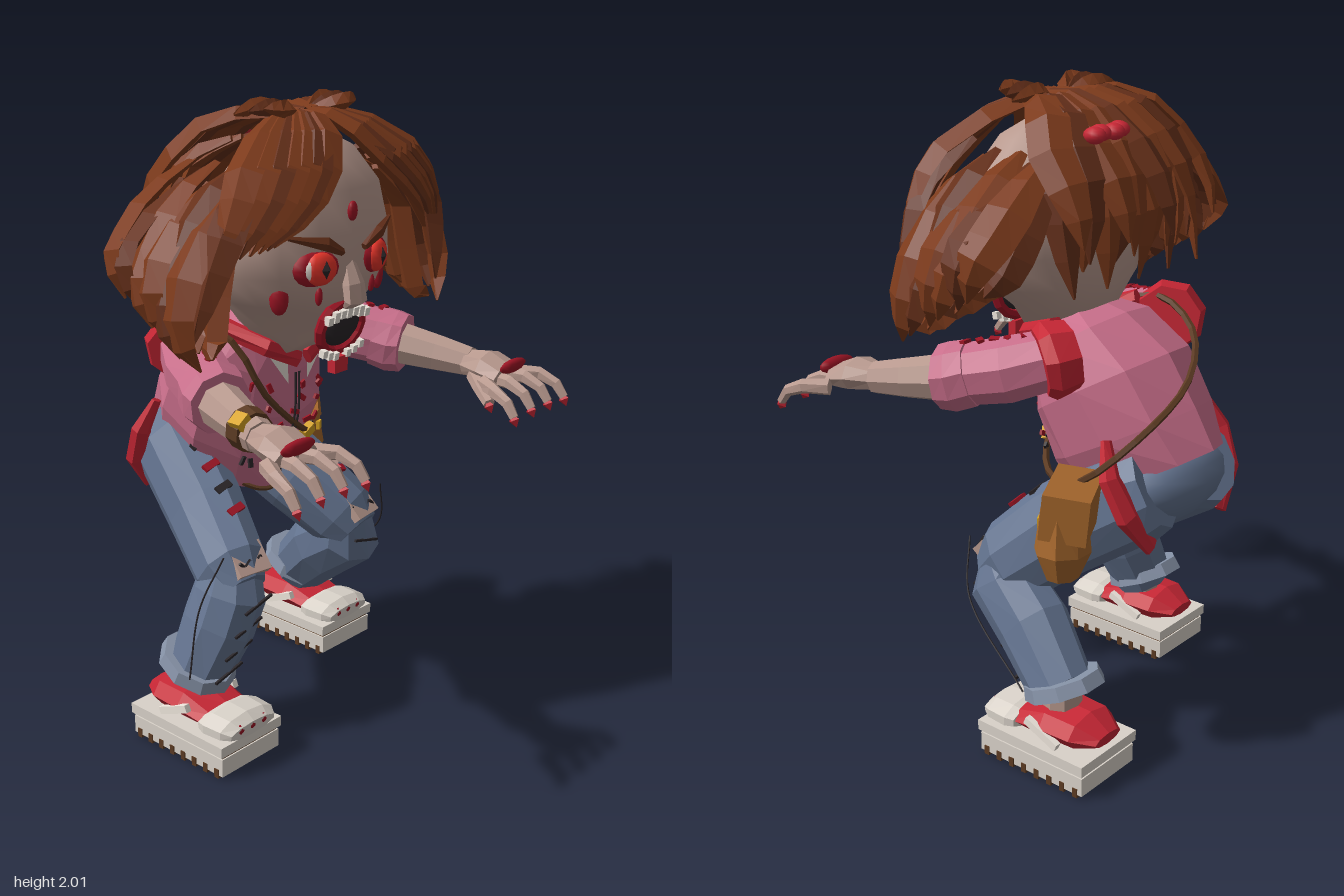
import * as THREE from 'three';

const V = (x, y, z) => new THREE.Vector3(x, y, z);
const COL = {
  skin: 0xb8998e, hair: 0x7c3a1b, hairDark: 0x66301a, pink: 0xc96f8b, jeans: 0x647490, cuff: 0x8793a8,
  red: 0xc62634, blood: 0x9c1424, shoe: 0xd9d2c9, bag: 0xa4662c, strap: 0x5b3a22, gold: 0xd9a422,
  dark: 0x2a2528, white: 0xeee6dc, eye: 0xe8352a,
};
const mats = {};
const mat = (c, flat = true) => mats[c + flat] ??= new THREE.MeshStandardMaterial({ color: COL[c], flatShading: flat });

export function createModel() {
  const model = new THREE.Group();
  model.name = 'zombieGirl';

  const add = (name, geo, c, pos = [0, 0, 0], rot = [0, 0, 0], scale = [1, 1, 1], parent = model, flat = true) => {
    const m = new THREE.Mesh(geo, mat(c, flat));
    m.name = name;
    m.position.set(...pos); m.rotation.set(...rot); m.scale.set(...scale);
    parent.add(m);
    return m;
  };
  const box = (name, c, size, pos, rot, parent) => add(name, new THREE.BoxGeometry(...size), c, pos, rot, undefined, parent);
  const blob = (name, c, size, pos, rot, parent) => add(name, new THREE.SphereGeometry(1, 10, 8), c, pos, rot, size, parent, false);

  // Closed skin over elliptical rings; each point is [x, y, z, radiusA, radiusB], B lies along ref
  const sweep = (name, c, pts, { n = 8, ref = V(0, 0, 1), flat = true, parent = model } = {}) => {
    const P = pts.map(p => V(p[0], p[1], p[2])), pos = [], idx = [], L = P.length;
    P.forEach((p, i) => {
      const T = P[Math.min(i + 1, L - 1)].clone().sub(P[Math.max(i - 1, 0)]).normalize();
      const B = ref.clone().addScaledVector(T, -ref.dot(T)).normalize(), A = B.clone().cross(T);
      for (let j = 0; j < n; j++) {
        const t = (j / n) * Math.PI * 2, q = p.clone();
        q.addScaledVector(A, Math.cos(t) * pts[i][3]).addScaledVector(B, Math.sin(t) * (pts[i][4] ?? pts[i][3]));
        pos.push(q.x, q.y, q.z);
        const k = (j + 1) % n, a = i * n + j, b = i * n + k;
        if (i < L - 1) idx.push(a, b, a + n, b, b + n, a + n);
        if (i === 0) idx.push(L * n, b, a);
        if (i === L - 1) idx.push(L * n + 1, a, b);
      }
    });
    [P[0], P[L - 1]].forEach(p => pos.push(p.x, p.y, p.z));
    const g = new THREE.BufferGeometry();
    g.setAttribute('position', new THREE.Float32BufferAttribute(pos, 3));
    g.setIndex(idx);
    g.computeVertexNormals();
    return add(name, g, c, undefined, undefined, undefined, parent, flat);
  };
  const cord = (name, c, pts, r, closed = false) => add(name,
    new THREE.TubeGeometry(new THREE.CatmullRomCurve3(pts.map(p => V(...p)), closed), 28, r, 5, closed), c);

  // Hunched jacket, axis leaning forward
  sweep('jacket', 'pink', [[-0.365, 0.85, 0, 0.265, 0.2], [-0.3, 0.97, 0, 0.26, 0.255], [-0.22, 1.12, 0, 0.24, 0.275],
    [-0.14, 1.24, 0, 0.16, 0.25], [-0.08, 1.3, 0, 0.09, 0.14]], { n: 10 });
  sweep('neck', 'skin', [[-0.1, 1.25, 0, 0.08], [-0.02, 1.4, 0, 0.1]], {});
  // Point on the jacket front at a given height and side offset
  const front = (y, z, out = 0.008) => {
    const k = [[0.72, -0.13], [0.845, -0.07], [1.015, -0.01], [1.18, -0.01], [1.3, -0.03]];
    const i = Math.max(0, Math.min(3, k.findIndex(p => p[0] > y) - 1));
    const x = k[i][1] + (k[i + 1][1] - k[i][1]) * (y - k[i][0]) / (k[i + 1][0] - k[i][0]);
    return [x + out - 0.24 * (1 - Math.sqrt(1 - (z / 0.29) ** 2)), y, z];
  };
  for (const z of [-0.008, 0.008]) cord('zip', 'dark', [0.74, 0.86, 1.0, 1.15].map(y => front(y, z)), 0.004);
  cord('hemTrim', 'strap', [[-0.23, 0.8, 0.15], [-0.13, 0.73, 0.04], [-0.13, 0.73, -0.04], [-0.23, 0.8, -0.15]], 0.008);
  for (const s of [-1, 1]) {
    add('collarPoint', new THREE.ConeGeometry(0.045, 0.13, 3), 'white', [0.0, 1.18, s * 0.065], [s * 0.35, 0, Math.PI], [0.4, 1, 1]);
    sweep('redCollar', 'red', [[0.02, 1.2, s * 0.02, 0.015, 0.03], [0, 1.26, s * 0.14, 0.03], [-0.16, 1.32, s * 0.2, 0.03]], { n: 6, ref: V(0, 1, 0) });
    // Torn hem at each hip
    sweep('redHem', 'red', [[-0.39, 1.03, s * 0.25, 0.012, 0.02], [-0.43, 0.93, s * 0.285, 0.03, 0.035],
      [-0.48, 0.82, s * 0.26, 0.032, 0.045], [-0.51, 0.7, s * 0.18, 0.012, 0.03]], { n: 6 });
  }
  for (let i = 0; i < 22; i++) {
    const y = 0.84 + ((i * 37) % 22) / 22 * 0.3, z = Math.sin(i * 2.4) * 0.16;
    box('jacketStain', i % 3 ? 'blood' : 'dark', [0.008, 0.03, 0.016], front(y, z, 0.002), [i, z, -0.3]);
  }

  // Head
  sweep('head', 'skin', [[0.05, 1.25, 0, 0.07, 0.09], [0, 1.32, 0, 0.165, 0.16], [-0.01, 1.42, 0, 0.215, 0.27], [0, 1.52, 0, 0.22, 0.35],
    [0, 1.62, 0, 0.22, 0.34], [0, 1.75, 0, 0.21, 0.29], [0, 1.85, 0, 0.15, 0.2], [0, 1.9, 0, 0.07, 0.1]], { n: 16, flat: false });
  sweep('nose', 'skin', [[0.2, 1.55, 0, 0.015, 0.02], [0.225, 1.47, 0, 0.028, 0.04], [0.235, 1.42, 0, 0.025, 0.045], [0.21, 1.4, 0, 0.01, 0.03]], { n: 6 });
  for (const s of [-1, 1]) {
    blob('eyeSocket', 'blood', [0.03, 0.055, 0.082], [0.19, 1.535, s * 0.135], [0, s * -0.3, 0]);
    blob('eyeWhite', 'white', [0.03, 0.045, 0.066], [0.196, 1.535, s * 0.135], [0, s * -0.3, 0]);
    blob('iris', 'eye', [0.025, 0.05, 0.055], [0.208, 1.535, s * 0.13], [0, s * -0.3, 0]);
    add('pupil', new THREE.OctahedronGeometry(0.028), 'dark', [0.23, 1.535, s * 0.128], [0, 0, 0], [0.5, 1, 0.7]);
    sweep('eyebrow', 'hairDark', [[0.222, 1.575, s * 0.05, 0.012], [0.222, 1.61, s * 0.12, 0.015, 0.022], [0.17, 1.635, s * 0.23, 0.006]], { n: 5, ref: V(0, 1, 0) });
    blob('cheekWound', 'blood', [0.02, 0.05, 0.03], [0.13, 1.45, s * 0.225], [0, s * -0.8, 0]);
    blob('bloodTear', 'blood', [0.012, 0.03, 0.012], [0.192, 1.45, s * 0.12]);
  }
  blob('foreheadWound', 'blood', [0.012, 0.03, 0.02], [0.218, 1.69, 0]);

  // Open mouth with broken teeth
  const mouth = new THREE.Group();
  mouth.name = 'mouth'; mouth.position.set(0.16, 1.335, 0); mouth.rotation.z = -0.2;
  model.add(mouth);
  blob('mouthHollow', 'dark', [0.03, 0.07, 0.085], [0.012, 0.005, 0], undefined, mouth);
  add('lips', new THREE.TorusGeometry(0.085, 0.017, 6, 14), 'blood', [0.015, 0, 0], [0, Math.PI / 2, 0], [1.1, 0.95, 1], mouth);
  for (let i = 0; i < 7; i++) {
    const z = (i - 3) * 0.028;
    box('upperTooth', 'white', [0.02, 0.026 + (i % 2) * 0.008, 0.022], [0.035, 0.055 - z * z * 2, z], undefined, mouth);
    if (i !== 3) box('lowerTooth', 'white', [0.02, 0.024, 0.02], [0.035, -0.088 + z * z * 3, z], undefined, mouth);
  }
  box('tongue', 'red', [0.03, 0.05, 0.06], [0.03, -0.12, 0], [0, 0, 0.2], mouth);

  // Hair locks: tapered diamonds along curves, facing away from the head centre
  const lock = (name, pts, w, k) => {
    const curve = new THREE.CatmullRomCurve3(pts.map(p => V(...p)));
    const prof = [0.3, 0.75, 1, 1, 0.9, 0.6, 0.06];
    const ref = curve.getPoint(0.5).sub(V(0, 1.55, 0)).normalize();
    sweep(name, k % 3 === 1 ? 'hairDark' : 'hair', prof.map((f, i) => [...curve.getPoint(i / 6).toArray(), w * f, 0.024 * f + 0.003]), { n: 4, ref });
  };
  for (const s of [-1, 1]) {
    // Side clump, hanging lower towards the face
    for (let i = 0; i < 6; i++) {
      const x = -0.21 + i * 0.056, j = (i % 2) * 0.025, tip = 1.5 - i * 0.034;
      lock('sideLock', [[x * 0.85, 1.83 - j, s * 0.26], [x, 1.74 - j, s * 0.42], [x + 0.005, (tip + 1.78) / 2, s * (0.53 + j)],
        [x + 0.02, tip + 0.07, s * 0.59], [x + 0.06, tip - 0.03, s * (0.57 - j)]], 0.068, i);
      lock('innerSideLock', [[x, 1.77, s * 0.28], [x, 1.64, s * 0.4], [x + 0.02, tip + 0.03, s * 0.46], [x + 0.06, tip - 0.03 + j, s * 0.5]], 0.06, i + 1);
    }
    // Swept fringe leaving a peak over the forehead
    for (let i = 0; i < 7; i++) {
      const f = i / 6, b = f * f;
      lock('fringeLock', [[0.01 - f * 0.03, 1.965, s * 0.015], [0.13 - f * 0.08, 1.94, s * (0.05 + f * 0.12)], [0.215 - b * 0.08, 1.835, s * (0.13 + f * 0.24)],
        [0.24 - b * 0.08, 1.73, s * (0.24 + f * 0.2)], [0.22 - b * 0.07, 1.635 - f * 0.03, s * (0.34 + f * 0.16)]], 0.058, i);
    }
    lock('templeLock', [[0.08, 1.86, s * 0.28], [0.15, 1.74, s * 0.42], [0.14, 1.58, s * 0.5], [0.11, 1.37, s * 0.56]], 0.06, 1);
    for (let i = 0; i < 3; i++) lock('looseStrand', [[0, 1.95, s * 0.04], [0.07 - i * 0.05, 1.985, s * 0.13], [0.05 - i * 0.04, 1.99 - i * 0.01, s * (0.2 + i * 0.02)]], 0.025, i);
  }
  // Back hair standing off the head in a wide flap
  for (let i = 0; i < 9; i++) {
    const z = (i - 4) * 0.075, j = (i % 2) * 0.06, e = Math.abs(z) * 0.25;
    lock('backLock', [[0.03, 1.965, z * 0.35], [-0.13, 1.955, z * 0.7], [-0.3 + e, 1.85, z], [-0.4 + e + j / 2, 1.72, z * 1.05], [-0.43 + e + j, 1.6 - j, z * 1.05]], 0.064, i);
    lock('underBackLock', [[-0.1, 1.89, z * 0.6], [-0.24, 1.81, z * 0.9], [-0.34 + e, 1.66, z], [-0.31 + j / 2, 1.45 + j, z]], 0.058, i + 1);
  }
  for (let i = 0; i < 4; i++) blob('hairTie', 'red', [0.035, 0.025, 0.03], [-0.275 + (i % 2) * 0.015, 1.89, -0.17 + i * 0.043]);

  // Arms reaching forward
  for (const s of [-1, 1]) {
    sweep('armholeTrim', 'red', [[-0.25, 1.26, s * 0.24, 0.105], [-0.215, 1.25, s * 0.3, 0.118], [-0.2, 1.245, s * 0.32, 0.1]], { n: 8 });
    sweep('sleeve', 'pink', [[-0.22, 1.25, s * 0.27, 0.09], [-0.1, 1.21, s * 0.345, 0.1], [0.04, 1.18, s * 0.41, 0.092]], { n: 9 });
    sweep('sleeveCuff', 'pink', [[0.0, 1.19, s * 0.39, 0.102], [0.05, 1.175, s * 0.415, 0.106], [0.09, 1.17, s * 0.43, 0.098]], { n: 9 });
    sweep('forearm', 'skin', [[0.06, 1.17, s * 0.42, 0.075], [0.2, 1.15, s * 0.465, 0.062], [0.31, 1.135, s * 0.495, 0.05]], { n: 8 });
    sweep('palm', 'skin', [[0.29, 1.135, s * 0.49, 0.04, 0.045], [0.38, 1.135, s * 0.495, 0.052, 0.08], [0.45, 1.12, s * 0.5, 0.035, 0.08]], { n: 8 });
    blob('handWound', 'blood', [0.018, 0.025, 0.068], [0.465, 1.15, s * 0.51], [0, 0, -0.4]);
    const digit = (name, pts) => {
      sweep(name, 'skin', pts.map((p, i) => [...p, 0.027 - i * 0.004]), { n: 6 });
      const [x, y, z] = pts[pts.length - 1];
      add('nail', new THREE.OctahedronGeometry(0.02), 'red', [x, y - 0.008, z], [0, 0, 0.5], [1, 1.2, 0.9]);
    };
    for (let f = -1.5; f < 2; f++) {
      const drop = Math.abs(f) * 0.008;
      digit('finger', [[0.42, 1.115 - drop, s * (0.5 + f * 0.055)], [0.49, 1.115 - drop, s * (0.5 + f * 0.085)],
        [0.55, 1.09 - drop, s * (0.5 + f * 0.092)], [0.58, 1.05 - drop, s * (0.5 + f * 0.094)]]);
    }
    digit('thumb', [[0.36, 1.11, s * 0.45], [0.42, 1.09, s * 0.4], [0.48, 1.06, s * 0.365]]);
    for (let i = 0; i < 5; i++) box('sleeveStain', 'blood', [0.02, 0.01, 0.03], [0.02 - i * 0.04, 1.285 + i * 0.007, s * (0.4 - i * 0.02)], [0, i, -0.2]);
  }
  sweep('watchStrap', 'strap', [[0.23, 1.145, 0.475, 0.066], [0.28, 1.14, 0.487, 0.062]], { n: 10 });
  box('watchFace', 'gold', [0.045, 0.03, 0.045], [0.26, 1.18, 0.525], [0.6, 0, 0]);

  // Jeans: hips and bent legs, left foot ahead of the right
  blob('jeansSeat', 'jeans', [0.18, 0.13, 0.25], [-0.41, 0.83, 0], [0, 0, -0.5]);
  const legs = [{ s: 1, knee: [0.01, 0.54, 0.29], ankle: [-0.06, 0.24, 0.4], foot: [-0.015, 0, 0.42] },
    { s: -1, knee: [-0.03, 0.54, -0.29], ankle: [-0.34, 0.25, -0.385], foot: [-0.315, 0, -0.385] }];
  for (const { s, knee: [kx, ky, kz], ankle: [ax, ay, az], foot } of legs) {
    sweep('thigh', 'jeans', [[-0.48, 0.875, s * 0.13, 0.135, 0.11], [-0.42, 0.84, s * 0.15, 0.155, 0.125], [-0.2, 0.685, s * 0.22, 0.15, 0.12],
      [kx - 0.03, ky + 0.02, kz, 0.135, 0.112], [kx + 0.03, ky - 0.03, kz + s * 0.01, 0.09, 0.08]], { n: 10 });
    sweep('shin', 'jeans', [[kx - 0.02, ky + 0.03, kz, 0.09], [kx - 0.02, ky - 0.05, kz + s * 0.02, 0.125, 0.11],
      [(kx + ax) / 2, (ky + ay) / 2, (kz + az) / 2, 0.125, 0.112], [ax, ay, az, 0.105, 0.1]], { n: 9 });
    sweep('jeansCuff', 'cuff', [[ax + 0.005, ay + 0.045, az, 0.125, 0.115], [ax - 0.012, ay + 0.005, az, 0.135, 0.122]], { n: 9 });
    sweep('ankle', 'skin', [[ax, ay + 0.02, az, 0.06], [ax, 0.14, az, 0.06]]);
    // Torn knee patch, stitches, creases and loose threads
    box('kneePatch', 'skin', [0.03, 0.1, 0.12], [kx + 0.045, ky + 0.075, kz], [0, -s * 0.15, 0.75]);
    for (let i = 0; i < 5; i++) box('stitch', 'dark', [0.008, 0.007, 0.03], [kx + 0.063, ky + 0.075, kz + (i - 2) * 0.022], [i % 2 ? 0.7 : -0.7, 0, 0.75]);
    for (let i = 0; i < 4; i++) {
      const t = i / 4 + 0.12;
      box('crease', 'dark', [0.008, 0.008, 0.12], [kx + (ax - kx) * t + 0.11, ky + (ay - ky) * t - 0.02, kz + (az - kz) * t], [s * 0.25, 0, 0]);
      box('thighRip', i % 2 ? 'blood' : 'dark', [0.025, 0.012, 0.06], [-0.25 + i * 0.07, 0.9 - i * 0.052, s * (0.2 + i * 0.015)], [s * 0.2, 0, -0.6]);
    }
    cord('looseThread', 'dark', [[kx + 0.05, ky + 0.12, s * 0.4], [kx, ky - 0.05, s * 0.46], [ax + 0.06, ay + 0.02, s * 0.5]], 0.003);

    // Chunky platform shoe
    const shoe = new THREE.Group();
    shoe.name = 'shoe'; shoe.position.set(...foot);
    model.add(shoe);
    box('soleLower', 'shoe', [0.4, 0.06, 0.25], [0, 0.04, 0], undefined, shoe);
    box('soleGroove', 'strap', [0.39, 0.02, 0.24], [0, 0.075, 0], undefined, shoe);
    box('soleUpper', 'shoe', [0.41, 0.034, 0.265], [0, 0.098, 0], undefined, shoe);
    for (let i = 0; i < 8; i++) for (const e of [-1, 1]) box('tread', 'strap', [0.018, 0.03, 0.02], [-0.175 + i * 0.05, 0.015, e * 0.118], undefined, shoe);
    sweep('shoeUpper', 'red', [[-0.2, 0.15, 0, 0.02, 0.06], [-0.13, 0.16, 0, 0.055, 0.105], [-0.02, 0.16, 0, 0.058, 0.11], [0.1, 0.14, 0, 0.035, 0.1]], { n: 8, parent: shoe });
    sweep('toeCap', 'shoe', [[0.08, 0.14, 0, 0.035, 0.115], [0.11, 0.14, 0, 0.045, 0.125], [0.18, 0.14, 0, 0.042, 0.12], [0.21, 0.135, 0, 0.025, 0.1]], { n: 10, parent: shoe });
    for (const z of [-0.05, 0, 0.05]) blob('toeStain', 'blood', [0.014, 0.018, 0.02], [0.2, 0.145, z], undefined, shoe);
    for (const e of [-1, 1]) box('sideStripe', 'white', [0.13, 0.025, 0.02], [-0.03, 0.15, e * 0.105], [0, 0, 0.4], shoe);
  }

  // Shoulder bag on the right hip
  cord('bagStrap', 'strap', [[-0.36, 0.92, -0.34], [-0.5, 1.06, -0.24], [-0.5, 1.17, 0], [-0.4, 1.27, 0.16], [-0.2, 1.33, 0.24],
    [-0.07, 1.27, 0.21], front(1.1, 0.13, 0.015), front(0.93, -0.07, 0.015), [-0.17, 0.88, -0.25]], 0.011, true);
  box('strapBuckle', 'gold', [0.025, 0.04, 0.05], front(0.92, -0.09, 0.015), [0.5, 0, -0.3]);
  const bag = new THREE.Group();
  bag.name = 'bag'; bag.position.set(-0.36, 0.8, -0.37); bag.rotation.y = 0.5;
  model.add(bag);
  box('bagFlap', 'bag', [0.14, 0.14, 0.24], [0, 0.06, 0], [0, 0, 0.1], bag);
  sweep('bagBody', 'bag', [[0.02, 0.05, -0.01, 0.07, 0.11], [0.02, -0.07, -0.03, 0.085, 0.115], [0.02, -0.15, -0.04, 0.05, 0.07]], { n: 8, parent: bag });
  box('bagClasp', 'gold', [0.03, 0.03, 0.03], [0.085, 0, 0], undefined, bag);
  return model;
}
